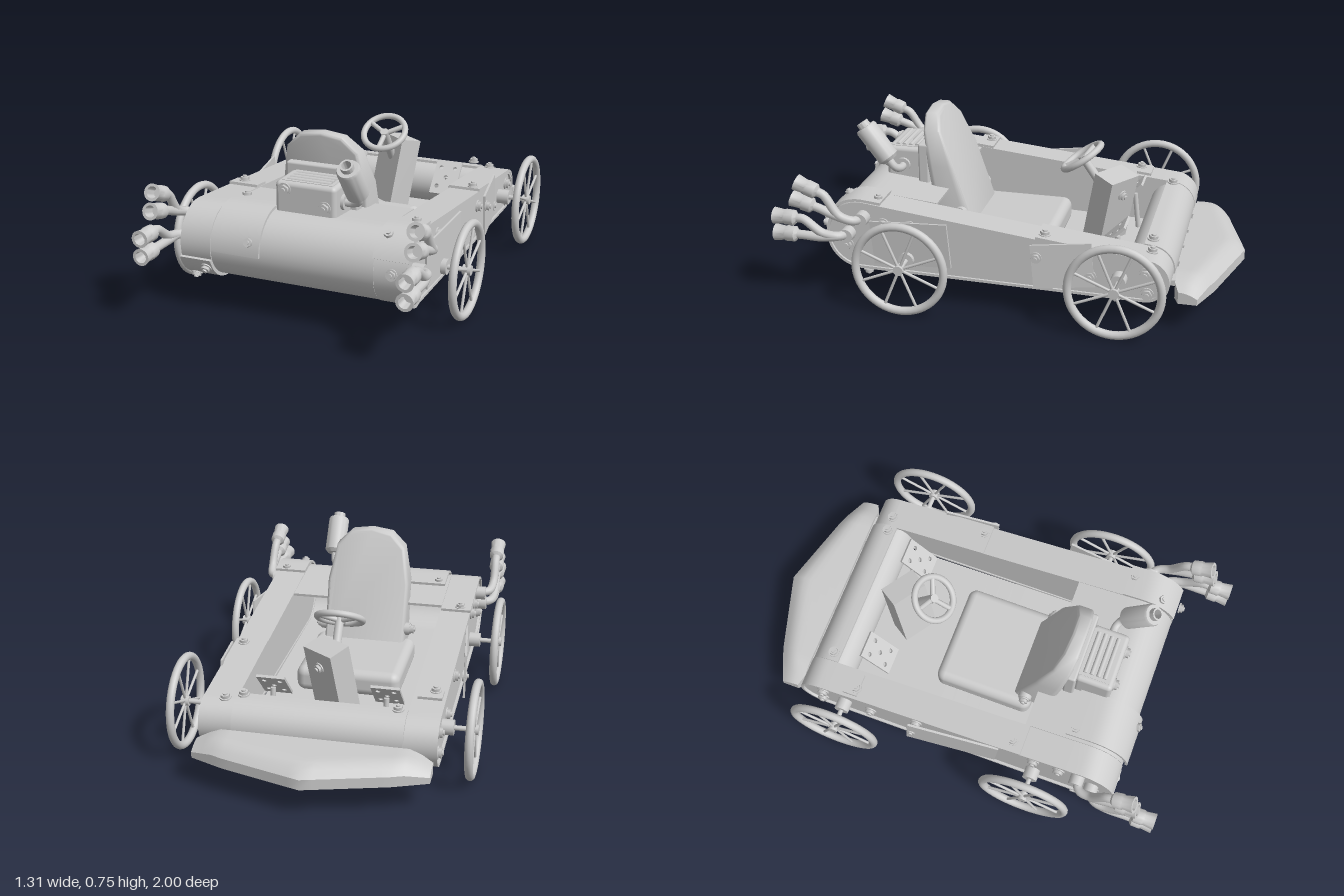
import * as THREE from 'three';
import { toCreasedNormals } from 'three/addons/utils/BufferGeometryUtils.js';
import { RoundedBoxGeometry } from 'three/addons/geometries/RoundedBoxGeometry.js';

const mat = new THREE.MeshStandardMaterial({ color: 0xcccccc, side: THREE.DoubleSide });
const V = (x, y, z) => new THREE.Vector3(x, y, z);
const flat = list => list.map(p => new THREE.Vector2(...p));
const { clamp, lerp, smoothstep } = THREE.MathUtils;

function add(parent, name, geo, pos = [0, 0, 0], rot = [0, 0, 0]) {
  const m = geo ? new THREE.Mesh(geo, mat) : new THREE.Group();
  m.name = name;
  m.position.set(...pos);
  m.rotation.set(...rot);
  parent.add(m);
  return m;
}
// Stand a y-axis part at a point, aimed along a direction
function aim(parent, name, geo, at, dir) {
  const m = add(parent, name, geo, at.toArray());
  m.quaternion.setFromUnitVectors(V(0, 1, 0), dir.clone().normalize());
  return m;
}
function rod(parent, name, a, b, r, sides = 16) {
  const d = b.clone().sub(a);
  aim(parent, name, new THREE.CylinderGeometry(r, r, d.length(), sides), a.clone().lerp(b, 0.5), d);
}
function bolt(parent, at, dir, s = 1) {
  const g = aim(parent, 'bolt', null, at, dir);
  [['washer', 0.025, 0.006, 16, 0.003], ['nut', 0.02, 0.014, 6, 0.012], ['stud', 0.01, 0.008, 12, 0.022]]
    .forEach(([name, r, h, n, y]) => add(g, name, new THREE.CylinderGeometry(r * s, r * s, h, n), [0, y, 0]));
}

// Side outline: two circles joined by tangents.
// u 0-1 top, 1-2 tail arc, 2-3 underside, 3-4 nose arc
const NOSE = { z: -0.62, y: 0.215, r: 0.11 }, TAIL = { z: 0.635, y: 0.298, r: 0.155 };
const PHI = Math.atan2(TAIL.y - NOSE.y, TAIL.z - NOSE.z);
const BETA = Math.asin((TAIL.r - NOSE.r) / Math.hypot(TAIL.y - NOSE.y, TAIL.z - NOSE.z));
const A_TOP = PHI + Math.PI / 2 + BETA, A_BOT = PHI - Math.PI / 2 - BETA;
function outline(u, off = 0, shrink = 0) {
  const k = Math.floor(u) % 4, t = u - Math.floor(u);
  const at = (c, a, o) => new THREE.Vector2(c.z + (c.r + o) * Math.cos(a), c.y + (c.r + o) * Math.sin(a));
  const nose = a => at(NOSE, a, off - shrink), tail = a => at(TAIL, a, off);
  if (k === 0) return nose(A_TOP).lerp(tail(A_TOP), t);
  if (k === 1) return tail(lerp(A_TOP, A_BOT, t));
  if (k === 2) return tail(A_BOT).lerp(nose(A_BOT), t);
  return nose(lerp(A_BOT, A_TOP - 2 * Math.PI, t));
}
const samples = (u0, u1) => {
  const list = [u0];
  for (let i = Math.floor(u0 * 20) + 1; i / 20 < u1; i++) list.push(i / 20);
  return [...list, u1];
};
// Extrude a (z, y) outline from x0 to x1
function across(pts, x0, x1) {
  const g = new THREE.ExtrudeGeometry(new THREE.Shape(pts), { depth: x1 - x0, bevelEnabled: false });
  return toCreasedNormals(g.rotateY(-Math.PI / 2).translate(x1, 0, 0), 0.5);
}
// Bent sheet lying on the outline
function wrap(parent, name, x0, x1, u0, u1, off = 0, shrink = 0) {
  const us = samples(u0, u1), outer = us.map(u => outline(u, off, shrink));
  add(parent, name, across([...outer, ...us.reverse().map(u => outline(u, off - 0.012, shrink))], x0, x1));
}

function body(root) {
  const g = add(root, 'body');
  wrap(g, 'floorAndDeck', -0.368, 0.362, 0.765, 4.03);
  for (const [a, b, c, d, shrink] of [[-0.51, -0.37, -0.498, -0.375, 0], [0.364, 0.505, 0.37, 0.495, 0.02]]) {
    wrap(g, 'railSkin', a, b, 0, 4, 0.002, shrink);
    add(g, 'railCore', across(samples(0, 3.99).map(u => outline(u, -0.01, shrink)), c, d));
  }
  rod(g, 'noseRoll', V(-0.37, NOSE.y, NOSE.z), V(0.365, NOSE.y, NOSE.z), 0.1, 32);
  // Patch plates: x0, x1, u0, u1, offset, nose shrink
  [[-0.355, -0.135, 0.912, 1.52, 0.02, 0], [-0.515, -0.37, 1.62, 2.03, 0.014, 0], [0.36, 0.512, 0.935, 1.38, 0.02, 0],
    [0.36, 0.507, 0, 0.385, 0.014, 0.02], [0.36, 0.507, 3.3, 4, 0.014, 0.02],
    [-0.495, -0.39, 0.095, 0.15, 0.014, 0], [-0.512, -0.372, 0.72, 0.785, 0.014, 0]]
    .forEach(p => wrap(g, 'patchPlate', ...p));
  // Bolts on the skin: x, u, nose shrink
  [[-0.185, 1.41], [-0.4, 1.7], [-0.48, 1.85], [0.4, 1.18], [0.445, 1.48], [-0.45, 2.02], [0.47, 2.02],
    [-0.32, 0.94], [0.46, 0.955], [0.41, 3.99, 0.02], [0.465, 0.36, 0.02], [-0.46, 0.14], [-0.46, 0.745],
    [-0.33, 0.005], [0.33, 0.005], [-0.46, 2.9], [0.45, 2.9, 0.02]].forEach(([x, u, shrink]) => {
    const p = outline(u, 0.012, shrink), q = outline(u, 1.012, shrink).sub(p);
    bolt(g, V(x, p.y, p.x), V(0, q.y, q.x));
  });
  // Side fittings
  for (const s of [-1, 1]) {
    for (const [z, y] of [[0.7, 0.25], [0.53, 0.36], [0.41, 0.36], [-0.155, 0.29], [-0.385, 0.215], [-0.62, 0.25], [-0.63, 0.16]])
      bolt(g, V(s * 0.498, y, z), V(s, 0, 0), 1.15);
    for (const [z, y] of [[0.62, 0.385], [0.69, 0.305]])
      rod(g, 'exhaustFlange', V(s * 0.49, y, z), V(s * 0.545, y, z), 0.032);
  }
  for (const [x, y, z, len, yaw] of [[0.52, 0.26, -0.27, 0.26, 0.12], [0.525, 0.29, 0.4, 0.36, -0.08], [-0.525, 0.28, 0.03, 0.42, 0.11]])
    add(g, 'sidePlate', new THREE.BoxGeometry(0.01, 0.2, len), [x, y, z], [0.085, yaw, 0]);
  for (const s of [-1, 1]) bolt(g, V(s * 0.537, 0.295, -0.16), V(s, 0, 0));
}

function wheel(root, s, z) {
  const g = add(root, 'wheel', null, [s * 0.635, 0.22, z]);
  add(g, 'tyre', new THREE.TorusGeometry(0.197, 0.018, 12, 48), [0, 0, 0], [0, Math.PI / 2, 0]);
  for (let i = 0; i < 8; i++) {
    const a = (i + 0.5) * Math.PI / 4;
    rod(g, 'spoke', V(0, 0, 0), V(0, 0.19 * Math.sin(a), 0.19 * Math.cos(a)), 0.0065, 8);
  }
  rod(g, 'hub', V(-0.018, 0, 0), V(0.018, 0, 0), 0.022);
  rod(g, 'axle', V(0, 0, 0), V(-s * 0.16, 0, 0), 0.011);
  rod(g, 'axleBoss', V(-s * 0.085, 0, 0), V(-s * 0.14, 0, 0), 0.034);
}

const tipGeo = toCreasedNormals(new THREE.LatheGeometry(flat([[0.02, 0], [0.034, 0.012], [0.035, 0.05], [0.031, 0.058],
  [0.037, 0.105], [0.025, 0.105], [0.022, 0.05], [0, 0.05]]), 20), 0.7);
function exhausts(root, s) {
  const g = add(root, 'sideExhausts');
  // Start z, y; bend z, y; tip start z, y; tip end z, y
  [[0.62, 0.385, 0.70, 0.415, 0.79, 0.515, 0.885, 0.553], [0.62, 0.385, 0.72, 0.415, 0.81, 0.448, 0.91, 0.478],
    [0.69, 0.305, 0.78, 0.325, 0.895, 0.385, 1, 0.388], [0.69, 0.305, 0.78, 0.306, 0.895, 0.308, 1, 0.309]]
    .forEach(([z0, y0, z1, y1, z2, y2, z3, y3]) => {
      const a = V(s * 0.574, y2, z2), d = V(0, y3 - y2, z3 - z2);
      const path = new THREE.CatmullRomCurve3([V(s * 0.51, y0, z0), V(s * 0.56, y0 + 0.006, z0 + 0.025),
        V(s * 0.574, y1, z1), a.clone().addScaledVector(d, -0.25), a.clone().addScaledVector(d, 0.1)]);
      add(g, 'exhaustPipe', new THREE.TubeGeometry(path, 24, 0.02, 12));
      aim(g, 'exhaustTip', tipGeo, a, d);
    });
}

function seat(root) {
  const g = add(root, 'seat');
  add(g, 'cushion', new RoundedBoxGeometry(0.48, 0.12, 0.46, 4, 0.04), [-0.01, 0.2, 0.07]);
  const sh = new THREE.Shape(flat([[0.17, 0.25], [0.17, 0.52], [0.14, 0.67], [0.08, 0.727], [-0.01, 0.74], [-0.1, 0.727],
    [-0.16, 0.67], [-0.19, 0.52], [-0.19, 0.25]]));
  const geo = new THREE.ExtrudeGeometry(sh, { depth: 0.6, bevelThickness: 0.2, bevelSize: 0.015, bevelSegments: 4 });
  const p = geo.attributes.position;
  // Taper: thick at the hip, thin and leaning at the top
  for (let i = 0; i < p.count; i++) {
    const y = p.getY(i) - 0.42;
    p.setZ(i, lerp(Math.max(0.21, 0.26 + y * 0.42), Math.min(0.41 + y * 0.16, 0.46), p.getZ(i) + 0.2));
  }
  add(g, 'backrest', toCreasedNormals(geo, 0.7));
  for (const s of [-1, 1]) {
    rod(g, 'hinge', V(-0.01 + s * 0.17, 0.31, 0.27), V(-0.01 + s * 0.215, 0.31, 0.27), 0.03);
    bolt(g, V(-0.01 + s * 0.215, 0.31, 0.27), V(s, 0, 0));
  }
}

function engine(root) {
  const g = add(root, 'engine');
  add(g, 'backPanel', new RoundedBoxGeometry(0.33, 0.2, 0.05, 2, 0.01), [0, 0.515, 0.45]);
  add(g, 'block', new RoundedBoxGeometry(0.275, 0.17, 0.17, 3, 0.02), [-0.003, 0.497, 0.55]);
  add(g, 'ventFrame', new THREE.BoxGeometry(0.23, 0.01, 0.14), [0, 0.579, 0.545]);
  for (let i = 0; i < 4; i++) rod(g, 'louvre', V(-0.1, 0.581, 0.5 + i * 0.03), V(0.1, 0.581, 0.5 + i * 0.03), 0.011, 10);
  for (const [x, y] of [[-0.095, 0.55], [0.085, 0.49]]) bolt(g, V(x, y, 0.634), V(0, 0, 1), 1.15);
  const elbow = new THREE.CatmullRomCurve3([V(0.12, 0.5, 0.555), V(0.18, 0.5, 0.555), V(0.21, 0.515, 0.57), V(0.217, 0.56, 0.6)]);
  add(g, 'stackElbow', new THREE.TubeGeometry(elbow, 20, 0.018, 12));
  rod(g, 'elbowFlange', V(0.13, 0.5, 0.555), V(0.148, 0.5, 0.555), 0.034);
  const stack = flat([[0, 0], [0.035, 0], [0.049, 0.015], [0.05, 0.175], [0.045, 0.185], [0.028, 0.185], [0.028, 0.21],
    [0.02, 0.21], [0.02, 0.16], [0, 0.16]]);
  aim(g, 'stack', toCreasedNormals(new THREE.LatheGeometry(stack, 28), 0.6), V(0.217, 0.55, 0.588), V(0, 0.8, 0.6));
}

function controls(root) {
  const g = add(root, 'steering', null, [0, 0.56, -0.25], [0.61, 0, 0]);
  add(g, 'wheelRim', new THREE.TorusGeometry(0.1, 0.015, 12, 40), [0, 0, 0], [Math.PI / 2, 0, 0]);
  for (const a of [1, 7 / 3, 11 / 3].map(k => k * Math.PI / 2))
    rod(g, 'wheelArm', V(0, -0.01, 0), V(0.1 * Math.cos(a), 0, 0.1 * Math.sin(a)), 0.012, 10);
  rod(g, 'column', V(0, 0.005, 0), V(0, -0.27, 0), 0.02);
  // Dash box leaning away from the seat
  const dash = add(root, 'dash', null, [0.005, 0.34, -0.385]);
  dash.rotation.set(-0.22, -0.6, 0, 'YXZ');
  add(dash, 'dashBox', new THREE.BoxGeometry(0.17, 0.32, 0.11));
  bolt(dash, V(0, 0.08, -0.055), V(0, 0, -1));
  // Pedals with a five-hole pattern
  const sh = new THREE.Shape(flat([[-0.063, -0.09], [0.063, -0.09], [0.063, 0.09], [-0.063, 0.09]]));
  for (const [x, y] of [[0, 0], [-0.035, -0.05], [0.035, -0.05], [-0.035, 0.05], [0.035, 0.05]])
    sh.holes.push(new THREE.Path().absarc(x, y, 0.011, 0, Math.PI * 2, true));
  const plate = new THREE.ExtrudeGeometry(sh, { depth: 0.012, bevelEnabled: false, curveSegments: 6 });
  for (const x of [-0.25, 0.25]) {
    add(root, 'pedal', plate, [x, 0.3, -0.44], [-0.78, 0, 0]);
    rod(root, 'pedalArm', V(x, 0.3, -0.46), V(x, 0.13, -0.48), 0.012, 10);
  }
}

function bumper(root) {
  const geo = new THREE.BoxGeometry(1, 1, 1, 20, 1, 8), p = geo.attributes.position;
  // Pointed plan, with the top rounding down to the front and the ends
  for (let i = 0; i < p.count; i++) {
    const x = Math.abs(p.getX(i)), tip = x < 0.35 ? 1 - 0.286 * x : 0.9 - 0.4 * (x - 0.35);
    const z = lerp(0.74 + 0.02 * smoothstep(x, 0.45, 0.5), tip, 0.5 - p.getZ(i));
    const k = clamp((z - tip + 0.08) / 0.08, 0, 1);
    const h = (0.092 - 0.04 * smoothstep(x, 0.4, 0.5)) * (1 - 0.5 * k * k);
    p.setXYZ(i, p.getX(i), 0.132 + h * (p.getY(i) + 0.5), -z);
  }
  add(root, 'frontBlade', toCreasedNormals(geo, 0.6));
  for (const x of [-0.36, -0.17, 0, 0.17, 0.36]) add(root, 'bladeHinge', new THREE.BoxGeometry(0.14, 0.025, 0.07), [x, 0.19, -0.74]);
}

export function createModel() {
  const root = new THREE.Group();
  root.name = 'cart';
  for (const s of [-1, 1]) {
    for (const z of [0.415, -0.512]) wheel(root, s, z);
    exhausts(root, s);
  }
  for (const part of [body, seat, engine, controls, bumper]) part(root);
  return root;
}
